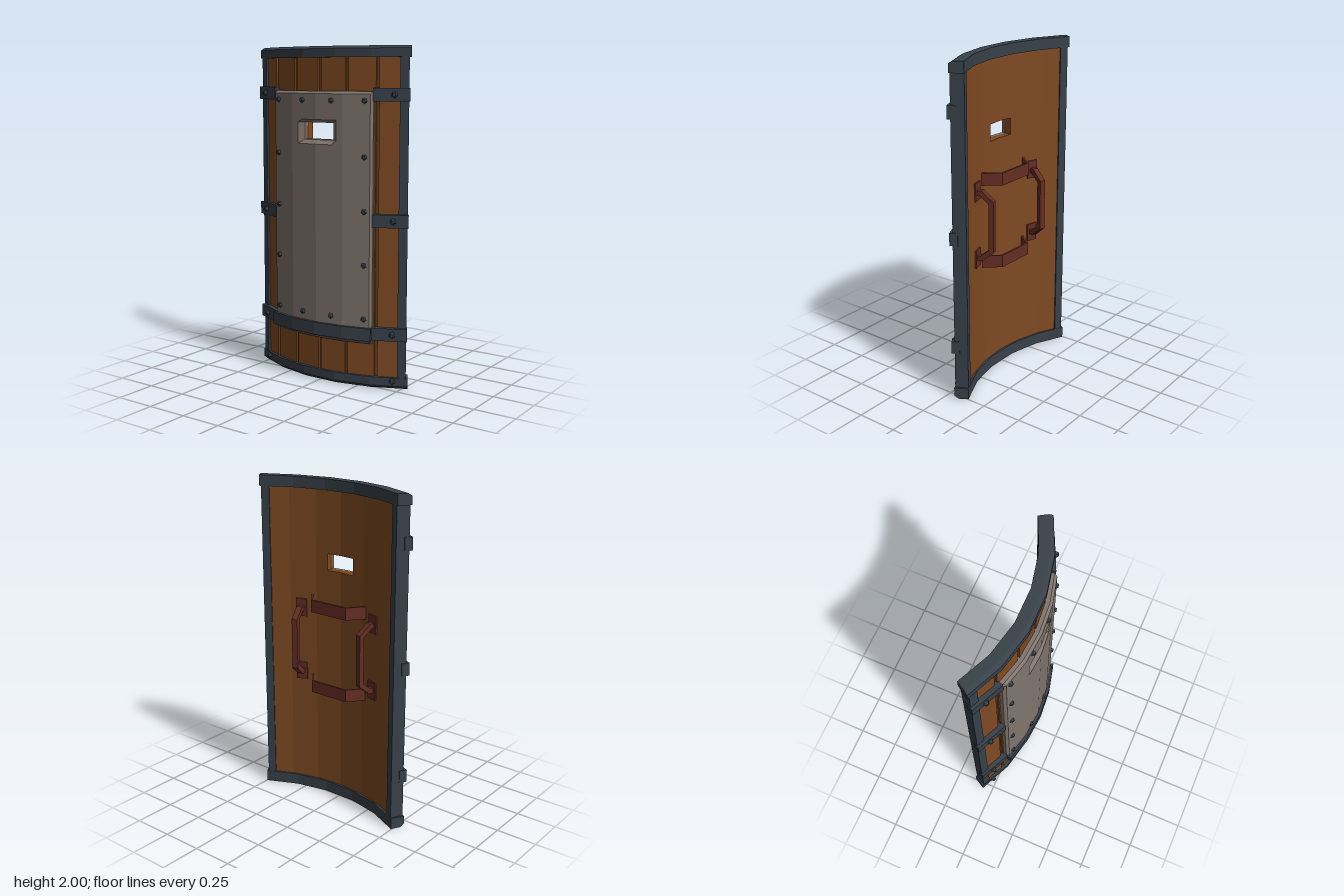
import * as THREE from 'three';

const CZ = -0.965; // z of the axis the shield is bent around
const MID = 0.098, SLIT = [1.46, 1.56]; // half angle and heights of the viewing slit

const material = (name, color) => Object.assign(new THREE.MeshStandardMaterial({ color }), { name });

// Point on a faceted arc: facets are `step` wide and start at `off`
function arcPoint(a, r, y, step, off) {
  const mid = (Math.floor((a - off) / step + 1e-6) + 0.5) * step + off;
  const d = Math.abs(a - mid) > step / 2 ? step / 2 : a - mid;
  const rr = r * Math.cos(step / 2) / Math.cos(d);
  return [Math.sin(a) * rr, y, Math.cos(a) * rr + CZ];
}

// Bent slab over a grid of angles and heights, with optional missing cells
function bentSlab(A, Y, rIn, rOut, step, off = 0, skip = () => false) {
  const out = typeof rOut === 'function' ? rOut : () => rOut;
  const pos = [];
  const quad = (a, b, c, d) => pos.push(...a, ...b, ...c, ...a, ...c, ...d);
  const solid = (i, j) => i >= 0 && j >= 0 && i < A.length - 1 && j < Y.length - 1 && !skip(i, j);
  const P = ([i, j]) => arcPoint(A[i], out(i, j), Y[j], step, off);
  const Q = ([i, j]) => arcPoint(A[i], rIn, Y[j], step, off);
  for (let i = 0; i < A.length - 1; i++) for (let j = 0; j < Y.length - 1; j++) {
    if (!solid(i, j)) continue;
    const c = [[i, j], [i + 1, j], [i + 1, j + 1], [i, j + 1]];
    quad(...c.map(P));
    quad(...c.map(Q).reverse());
    [[0, -1], [1, 0], [0, 1], [-1, 0]].forEach(([di, dj], k) => {
      const p = c[k], q = c[(k + 1) % 4];
      if (!solid(i + di, j + dj)) quad(Q(p), Q(q), P(q), P(p));
    });
  }
  const g = new THREE.BufferGeometry();
  g.setAttribute('position', new THREE.Float32BufferAttribute(pos, 3));
  g.computeVertexNormals();
  return g;
}

// Strip of constant thickness along a polyline, extruded to a width
function ribbon(pts, t, width) {
  const v = pts.map(p => new THREE.Vector2(...p));
  const inner = v.map((p, i) => {
    const n = (a, b) => { const d = b.clone().sub(a).normalize(); return new THREE.Vector2(-d.y, d.x); };
    const n0 = n(v[Math.max(i - 1, 0)], v[Math.max(i, 1)]);
    const n1 = n(v[Math.min(i, v.length - 2)], v[Math.min(i + 1, v.length - 1)]);
    const m = n0.clone().add(n1).normalize();
    return p.clone().addScaledVector(m, t / m.dot(n1));
  });
  const g = new THREE.ExtrudeGeometry(new THREE.Shape([...v, ...inner.reverse()]), { depth: width, bevelEnabled: false });
  return g.translate(0, 0, -width / 2);
}

export function createModel() {
  const root = new THREE.Group();
  const wood = material('wood', 0x7f4a22);
  const groove = material('dark wood groove', 0x633a1b);
  const iron = material('dark iron', 0x38414a);
  const steel = material('dull steel', 0x82766f);
  const leather = material('red leather', 0x652d24);
  const add = (name, geo, mat, parent = root) => {
    const m = new THREE.Mesh(geo, mat);
    m.name = name;
    parent.add(m);
    return m;
  };

  // Wooden body: back sheet, dark groove sheet and six planks
  const W = 0.177;
  const sheetA = [-0.52, -2 * W, -W, -MID, 0, MID, W, 2 * W, 0.52];
  const sheetY = [0.03, ...SLIT, 1.97];
  const inSlit = (i, j) => j === 1 && (i === 3 || i === 4);
  add('backSheet', bentSlab(sheetA, sheetY, 0.98, 1.015, W, 0, inSlit), wood);
  add('grooveSheet', bentSlab(sheetA, sheetY, 1.015, 1.024, W, 0, inSlit), groove);
  for (let k = -3; k < 3; k++) {
    const a0 = k * W + 0.009, a1 = (k + 1) * W - 0.009;
    const A = k === 0 ? [a0, MID, a1] : k === -1 ? [a0, -MID, a1] : [a0, a1];
    const hole = (i, j) => j === 1 && ((k === 0 && i === 0) || (k === -1 && i === 1));
    add('plank', bentSlab(A, sheetY, 1.02, 1.037, W, 0, hole), wood);
  }

  // Iron frame: bevelled top and bottom rails, side rails
  const S = 0.215, railA = [-2.5, -1.5, -0.5, 0.5, 1.5, 2.5].map(k => k * S);
  add('topRail', bentSlab(railA, [1.935, 1.985, 2], 0.97, (i, j) => j === 2 ? 1.03 : 1.054, S, S / 2), iron);
  add('bottomRail', bentSlab(railA, [0, 0.02, 0.07], 0.97, (i, j) => j === 0 ? 1.03 : 1.054, S, S / 2), iron);
  for (const s of [-1, 1]) {
    const span = (a, b) => s > 0 ? [a, b] : [-b, -a];
    add('sideRail', bentSlab(span(0.477, 0.527), [0.03, 1.97], 0.972, 1.05, S, S / 2), iron);
    for (const y of [0.333, 1.003, 1.725])
      add('sideBand', bentSlab(span(0.335, 0.532), [y - 0.038, y + 0.038], 1.02, 1.067, 0.2, 0.135 * s), iron);
  }

  // Steel face plate with bevelled rim and sunken viewing slit
  const plateA = [-0.336, -0.322, -0.168, -0.128, -MID, 0, MID, 0.128, 0.168, 0.322, 0.336];
  const plateY = [0.272, 0.287, 1.435, ...SLIT, 1.578, 1.728, 1.743];
  const plateR = (i, j) => {
    if (i === 0 || i === 10 || j === 0 || j === 7) return 1.06;
    return i >= 4 && i <= 6 && (j === 3 || j === 4) ? 1.05 : 1.076;
  };
  add('facePlate', bentSlab(plateA, plateY, 1.022, plateR, 0.168, 0,
    (i, j) => j === 3 && (i === 4 || i === 5)), steel);
  add('lowerBand', bentSlab([-0.335, -0.168, 0, 0.168, 0.335], [0.295, 0.371], 1.03, 1.095, 0.168), iron);

  // Five-sided rivets
  const rivetGeo = new THREE.CylinderGeometry(0.011, 0.02, 0.018, 5).rotateX(Math.PI / 2).toNonIndexed();
  rivetGeo.computeVertexNormals();
  const rivet = (x, y, r) => {
    const a = Math.asin(x / r);
    const m = add('rivet', rivetGeo, iron);
    m.position.set(x, y, Math.cos(a) * r + CZ);
    m.rotation.y = a;
  };
  for (const s of [-1, 1]) {
    for (const y of [0.42, 0.74, 1.055, 1.37, 1.69]) rivet(s * 0.308, y, 1.078);
    for (const y of [0.42, 1.69]) rivet(s * 0.103, y, 1.078);
    for (const y of [0.333, 1.003, 1.725]) rivet(s * 0.465, y, 1.072);
    rivet(s * 0.46, 0.048, 1.057);
  }

  // Two upright grips on the back, each with two mounting plates
  for (const s of [-1, 1]) {
    const grip = new THREE.Group();
    grip.name = 'grip';
    const a = s * 0.28;
    grip.position.set(Math.sin(a) * 0.98, 1.005, Math.cos(a) * 0.98 + CZ);
    grip.rotation.y = a;
    root.add(grip);
    const path = [[0, -0.215], [0.04, -0.215], [0.112, -0.155], [0.112, 0.155], [0.04, 0.215], [0, 0.215]];
    add('gripBar', ribbon(path, 0.03, 0.036).rotateY(Math.PI / 2), leather, grip);
    for (const t of [-1, 1])
      add('gripMount', new THREE.BoxGeometry(0.07, 0.11, 0.02).translate(0, t * 0.205, -0.002), leather, grip);
  }

  // Two horizontal arm straps
  for (const y of [0.75, 1.26]) {
    const path = [[-0.205, -0.012], [-0.13, -0.105], [0.13, -0.105], [0.205, -0.012]];
    add('armStrap', ribbon(path, 0.012, 0.075).rotateX(Math.PI / 2).translate(0, y, 0), leather);
  }
  return root;
}
